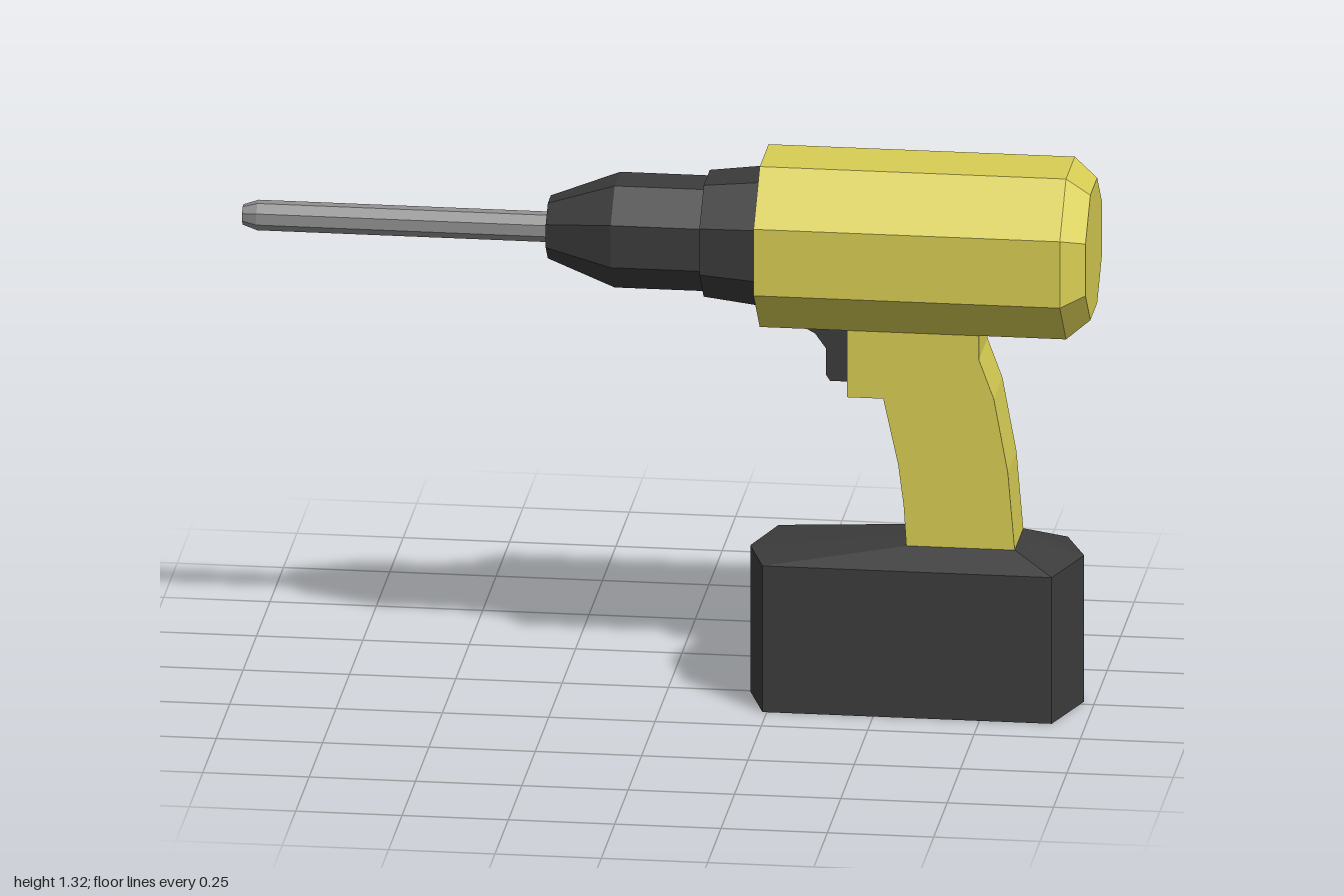
import * as THREE from 'three';

const AXIS_Y = 1.1225;

function flat(geometry) {
  const g = geometry.index ? geometry.toNonIndexed() : geometry;
  g.computeVertexNormals();
  return g;
}

// Eight-sided solid along x; profile is [x, apothem] from -x to +x
function octagonal(profile) {
  const k = 1 / Math.cos(Math.PI / 8);
  const pts = [[profile[0][0], 0], ...profile, [profile[profile.length - 1][0], 0]]
    .map(([x, r]) => new THREE.Vector2(r * k, x));
  const g = new THREE.LatheGeometry(pts, 8, Math.PI / 8);
  g.rotateZ(-Math.PI / 2);
  return flat(g);
}

// Side outline in x, y extruded evenly about z = 0
function slab(outline, width) {
  const shape = new THREE.Shape(outline.map(([x, y]) => new THREE.Vector2(x, y)));
  const g = new THREE.ExtrudeGeometry(shape, { depth: width, bevelEnabled: false });
  g.translate(0, 0, -width / 2);
  return g;
}

// Stacked horizontal rings ([x, z] corners at height y), capped at both ends
function stack(levels) {
  const n = levels[0].ring.length;
  const pos = [];
  const idx = [];
  levels.forEach(({ y, ring }) => ring.forEach(([x, z]) => pos.push(x, y, z)));
  for (let l = 0; l < levels.length - 1; l++) {
    for (let i = 0; i < n; i++) {
      const a = l * n + i, b = l * n + (i + 1) % n;
      idx.push(a, b, b + n, a, b + n, a + n);
    }
  }
  const top = (levels.length - 1) * n;
  for (let i = 1; i < n - 1; i++) {
    idx.push(0, i + 1, i, top, top + i, top + i + 1);
  }
  const g = new THREE.BufferGeometry();
  g.setAttribute('position', new THREE.Float32BufferAttribute(pos, 3));
  g.setIndex(idx);
  return flat(g);
}

export function createModel() {
  const group = new THREE.Group();
  const material = (name, color) => {
    const m = new THREE.MeshStandardMaterial({ color });
    m.name = name;
    return m;
  };
  const yellow = material('yellow casing', 0xd8ce54);
  const dark = material('dark plastic', 0x3c3c3c);
  const steel = material('grey steel', 0x939393);

  const add = (name, geometry, mat, y = 0) => {
    const mesh = new THREE.Mesh(geometry, mat);
    mesh.name = name;
    mesh.position.y = y;
    group.add(mesh);
  };

  // Motor housing, chuck and bit share one axis
  add('motorHousing', octagonal([[0.225, 0.1975], [0.945, 0.1975], [1, 0.154]]), yellow, AXIS_Y);
  add('collar', octagonal([[0.09, 0.137], [0.235, 0.153]]), dark, AXIS_Y);
  add('chuck', octagonal([[-0.28, 0.068], [-0.12, 0.125], [0.1, 0.125]]), dark, AXIS_Y);
  add('drillBit', octagonal([[-1, 0.022], [-0.965, 0.033], [-0.27, 0.033]]), steel, AXIS_Y);

  // Curved grip
  add('handle', slab([
    [0.43, 0.94], [0.43, 0.76], [0.515, 0.76], [0.55, 0.6], [0.563, 0.5], [0.57, 0.39],
    [0.825, 0.39], [0.808, 0.59], [0.775, 0.77], [0.74, 0.865], [0.74, 0.94],
  ], 0.16), yellow);

  // Trigger in front of the grip
  add('trigger', slab([
    [0.295, 0.93], [0.35, 0.9], [0.375, 0.865], [0.375, 0.8], [0.385, 0.785],
    [0.44, 0.785], [0.44, 0.93],
  ], 0.08), dark);

  // Battery with pointed ends and a top sloping up to the grip
  const base = [[0.24, 0.15], [0.92, 0.15], [0.975, -0.02], [0.92, -0.15], [0.24, -0.15], [0.193, 0.005]];
  const neck = [[0.57, 0.08], [0.825, 0.08], [0.825, 0], [0.825, -0.08], [0.57, -0.08], [0.57, 0]];
  add('battery', stack([{ y: 0, ring: base }, { y: 0.36, ring: base }, { y: 0.4, ring: neck }]), dark);

  return group;
}
